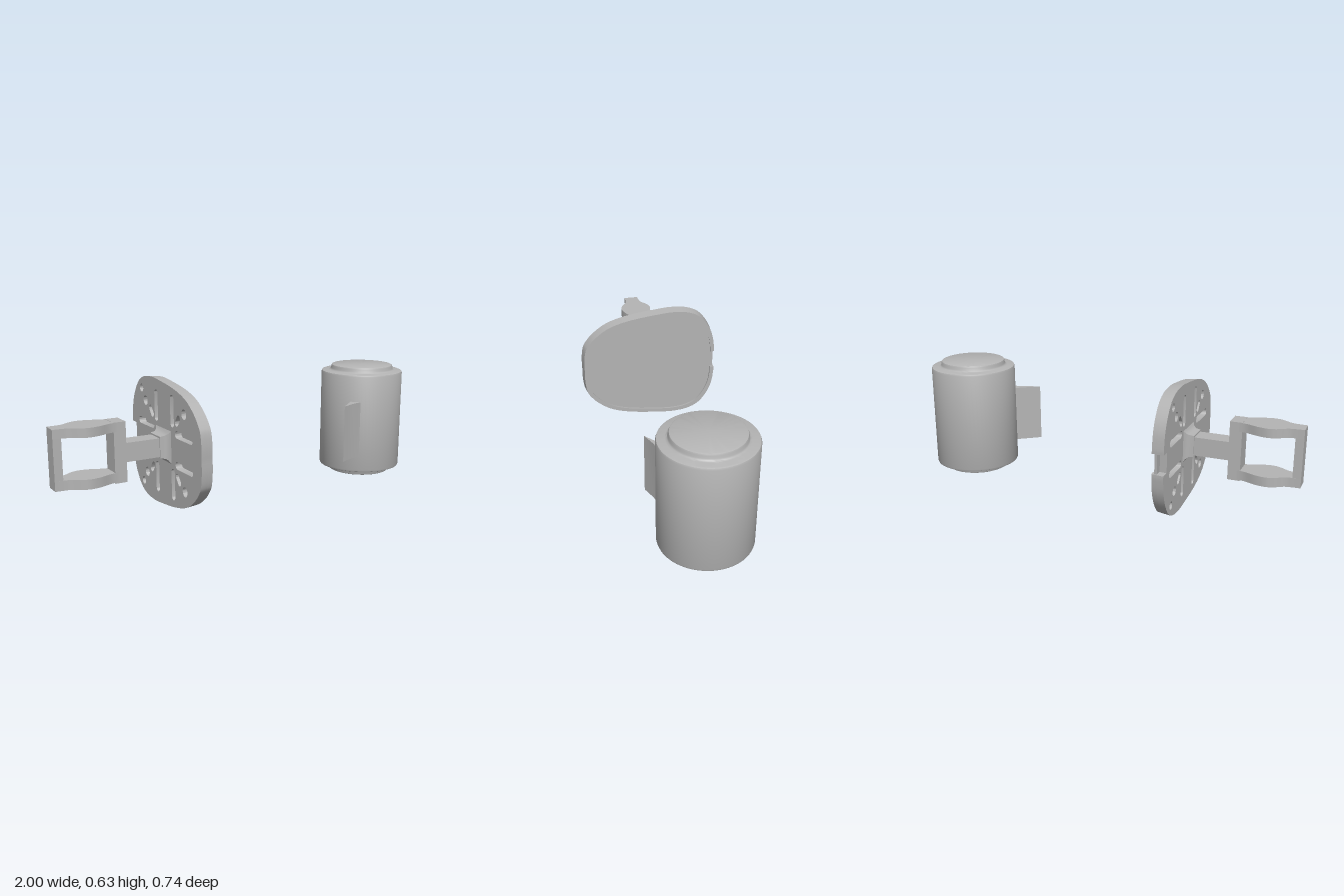
import * as THREE from 'three';
import { toCreasedNormals } from 'three/addons/utils/BufferGeometryUtils.js';

const grey = new THREE.MeshStandardMaterial({ color: 0xb4b4b4 });
grey.name = 'plain grey';

const V = (x, y) => new THREE.Vector2(x, y);
const MID = 0.315; // height of the plate and arm axis

function part(group, name, geometry, crease = 0.6) {
  const mesh = new THREE.Mesh(toCreasedNormals(geometry, crease), grey);
  mesh.name = name;
  group.add(mesh);
  return mesh;
}

function box(group, name, x0, x1, y0, y1, z0, z1) {
  const g = new THREE.BoxGeometry(x1 - x0, y1 - y0, z1 - z0);
  g.translate((x0 + x1) / 2, (y0 + y1) / 2, (z0 + z1) / 2);
  return part(group, name, g);
}

// Plan outline given as (x, z), raised from y0 to y1
function planSolid(group, name, pts, y0, y1) {
  const shape = new THREE.Shape(pts.map(([x, z]) => V(x, -z)));
  const g = new THREE.ExtrudeGeometry(shape, { depth: y1 - y0, bevelEnabled: false });
  g.rotateX(-Math.PI / 2).translate(0, y0, 0);
  return part(group, name, g);
}

// Side outline given as (-z, y from the axis), running from x0 to x1,
// narrowing slightly toward +x
function plateLayer(group, name, shape, x0, x1) {
  const g = new THREE.ExtrudeGeometry(shape, { depth: x1 - x0, bevelEnabled: false });
  g.rotateY(Math.PI / 2).translate(x0, 0, 0);
  const p = g.attributes.position;
  for (let i = 0; i < p.count; i++) {
    const s = 1 - 0.3 * (p.getX(i) + 0.44);
    p.setXYZ(i, p.getX(i), MID + p.getY(i) * s, p.getZ(i) * s);
  }
  return part(group, name, g);
}

// Rounded slot between two points, or a round hole when they coincide
function slot(ax, ay, bx, by, r) {
  const t = Math.atan2(by - ay, bx - ax);
  const path = new THREE.Path();
  path.absarc(bx, by, r, t - Math.PI / 2, t + Math.PI / 2, false);
  path.absarc(ax, ay, r, t + Math.PI / 2, t + Math.PI * 1.5, false);
  return new THREE.Path(path.getPoints(8).slice(0, -1));
}

function buildPlate() {
  const plate = new THREE.Group();
  plate.name = 'plate';

  // Upper half of the outline, mirrored for the lower half
  const half = new THREE.SplineCurve([
    [0.37, 0.05], [0.369, 0.08], [0.358, 0.15], [0.33, 0.215], [0.28, 0.275],
    [0.215, 0.305], [0.14, 0.314], [0.07, 0.311], [-0.1, 0.29], [-0.22, 0.257],
    [-0.30, 0.205], [-0.345, 0.155], [-0.362, 0.12], [-0.37, 0.06], [-0.37, 0],
  ].map(([a, b]) => V(a, b))).getPoints(56);
  const outer = [...half, ...half.slice(0, -1).reverse().map(p => V(p.x, -p.y))];
  const inner = outer.map(p => V(p.x * 0.943, p.y * 0.93));

  // Pierced back with a notch at one edge
  const back = new THREE.Shape([...outer, V(0.325, -0.05), V(0.325, 0.05)]);
  for (const sy of [1, -1]) {
    for (const sx of [1, -1]) {
      back.holes.push(
        slot(sx * 0.085, sy * 0.12, sx * 0.085, sy * 0.24, 0.018),
        slot(sx * 0.13, sy * 0.075, sx * 0.27, sy * 0.075, 0.018),
        slot(sx * 0.13, sy * 0.13, sx * 0.15, sy * 0.155, 0.016),
        slot(sx * 0.205, sy * 0.185, sx * 0.205, sy * 0.185, 0.024));
    }
    back.holes.push(slot(0.25, sy * 0.242, 0.25, sy * 0.242, 0.02));
  }
  plateLayer(plate, 'piercedBack', back, -0.44, -0.405);

  // Solid face and the open rim around it
  const face = new THREE.Shape([...outer, V(0.364, -0.05), V(0.364, 0.05)]);
  plateLayer(plate, 'face', face, -0.405, -0.392);
  plateLayer(plate, 'rim', new THREE.Shape([...outer, ...inner.reverse()]), -0.392, -0.38);
  return plate;
}

function buildArm() {
  const arm = new THREE.Group();
  arm.name = 'arm';
  const zc = -0.01;

  // Square flared foot against the plate
  const flare = [[0.08, 0], [0.066, 0.008], [0.057, 0.02], [0.053, 0.045], [0, 0.045]]
    .map(([r, y]) => V(r * Math.SQRT2, y));
  const foot = new THREE.LatheGeometry(flare, 4, Math.PI / 4);
  foot.rotateZ(Math.PI / 2).translate(-0.44, MID, zc);
  part(arm, 'flaredFoot', foot);

  box(arm, 'stem', -0.67, -0.44, 0.268, 0.36, zc - 0.048, zc + 0.048);

  // Open frame: two posts joined by bars that swell in the middle
  box(arm, 'innerPost', -0.715, -0.655, 0.172, 0.463, zc - 0.048, zc + 0.048);
  box(arm, 'outerPost', -1, -0.96, 0.178, 0.46, zc - 0.038, zc + 0.038);
  const swell = new THREE.SplineCurve([
    [-1, 0.038], [-0.96, 0.04], [-0.925, 0.047], [-0.885, 0.073], [-0.845, 0.085],
    [-0.795, 0.077], [-0.74, 0.055], [-0.7, 0.048], [-0.655, 0.048],
  ].map(([x, w]) => V(x, w))).getPoints(32);
  const plan = [
    ...swell.map(p => [p.x, zc + p.y]),
    ...swell.slice().reverse().map(p => [p.x, zc - p.y]),
  ];
  planSolid(arm, 'lowerBar', plan, 0.177, 0.224);
  planSolid(arm, 'upperBar', plan, 0.418, 0.462);
  return arm;
}

function buildCanister() {
  const canister = new THREE.Group();
  canister.name = 'canister';

  // Lower half of the profile, mirrored for the upper half
  const low = [
    [0, 0.02], [0.157, 0.02], [0.164, 0.023], [0.167, 0.03], [0.168, 0.041],
    [0.172, 0.048], [0.18, 0.051], [0.21, 0.051], [0.217, 0.054], [0.22, 0.062],
  ].map(([r, y]) => V(r, y));
  const high = low.slice().reverse().map(p => V(p.x, 0.635 - p.y));
  const body = new THREE.LatheGeometry([...low, ...high], 64);
  body.translate(0.779, 0, -0.003);
  part(canister, 'body', body, 0.7);

  // Tapered fin
  planSolid(canister, 'fin',
    [[0.493, 0.212], [0.56, 0.185], [0.64, 0.165], [0.66, 0.13], [0.606, 0.122], [0.56, 0.158]],
    0.143, 0.44);
  return canister;
}

export function createModel() {
  const model = new THREE.Group();
  model.name = 'plateArmAndCanister';
  model.add(buildPlate(), buildArm(), buildCanister());
  return model;
}
